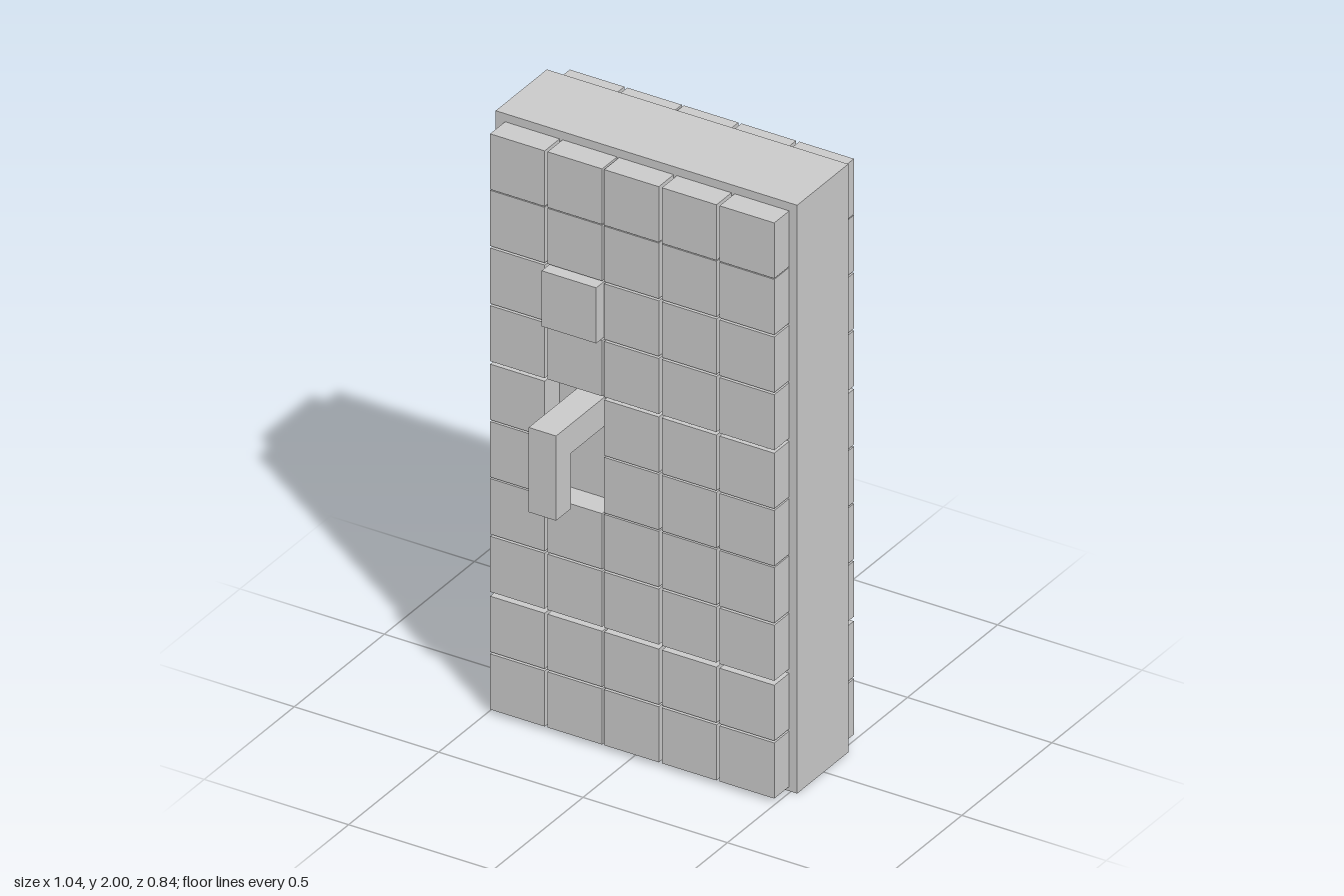
import * as THREE from 'three';

const material = new THREE.MeshStandardMaterial({ color: 0xcccccc, flatShading: true });

// Box given by its minimum and maximum corners
function box(name, [x0, y0, z0], [x1, y1, z1]) {
  const mesh = new THREE.Mesh(new THREE.BoxGeometry(x1 - x0, y1 - y0, z1 - z0), material);
  mesh.name = name;
  mesh.position.set((x0 + x1) / 2, (y0 + y1) / 2, (z0 + z1) / 2);
  return mesh;
}

const COLUMNS = [-0.395, -0.196, 0, 0.2, 0.4];
const ROWS = [0.11, 0.306, 0.51, 0.706, 0.9, 1.095, 1.294, 1.49, 1.686, 1.878];
const HALF = 0.0945;
const HANDLE_COLUMN = 1;
const isRecess = (c, r) => c === HANDLE_COLUMN && (r === 4 || r === 5);
const isRaised = (c, r) => c === HANDLE_COLUMN && r === 7;

// Grid of tiles on one face, leaving a recess behind the handle
function tilePanel(name, tileName, zMin, zMax, raise) {
  const panel = new THREE.Group();
  panel.name = name;
  COLUMNS.forEach((x, c) => ROWS.forEach((y, r) => {
    if (isRecess(c, r)) return;
    const lift = raise && isRaised(c, r) ? raise : 0;
    panel.add(box(lift ? 'raisedTile' : tileName,
      [x - HALF, y - HALF, zMin], [x + HALF, y + HALF, zMax + lift]));
  }));
  return panel;
}

// L-shaped handle: an arm out of the slab and a hanging grip, as one profile
function handle(name, side, root) {
  const end = 0.42, inner = 0.337;
  const points = [[root, 1.145], [root, 1.046], [inner, 1.046], [inner, 0.857], [end, 0.857], [end, 1.145]];
  const shape = new THREE.Shape(points.map(([z, y]) => new THREE.Vector2(z * side, y)));
  const geometry = new THREE.ExtrudeGeometry(shape, { depth: 0.095, bevelEnabled: false });
  geometry.rotateY(-Math.PI / 2); // profile x becomes z, depth runs to -x
  const mesh = new THREE.Mesh(geometry, material);
  mesh.name = name;
  mesh.position.x = -0.143;
  return mesh;
}

export function createModel() {
  const door = new THREE.Group();
  door.name = 'door';

  // Solid core
  door.add(box('doorSlab', [-0.522, 0, -0.136], [0.522, 2, 0.148]));

  // Tiled faces
  door.add(tilePanel('frontTiles', 'frontTile', 0.14, 0.231, 0.033));
  door.add(tilePanel('backTiles', 'backTile', -0.211, -0.13, 0));

  // Handles on both faces
  door.add(handle('frontHandle', 1, 0.14));
  door.add(handle('backHandle', -1, 0.13));

  return door;
}
